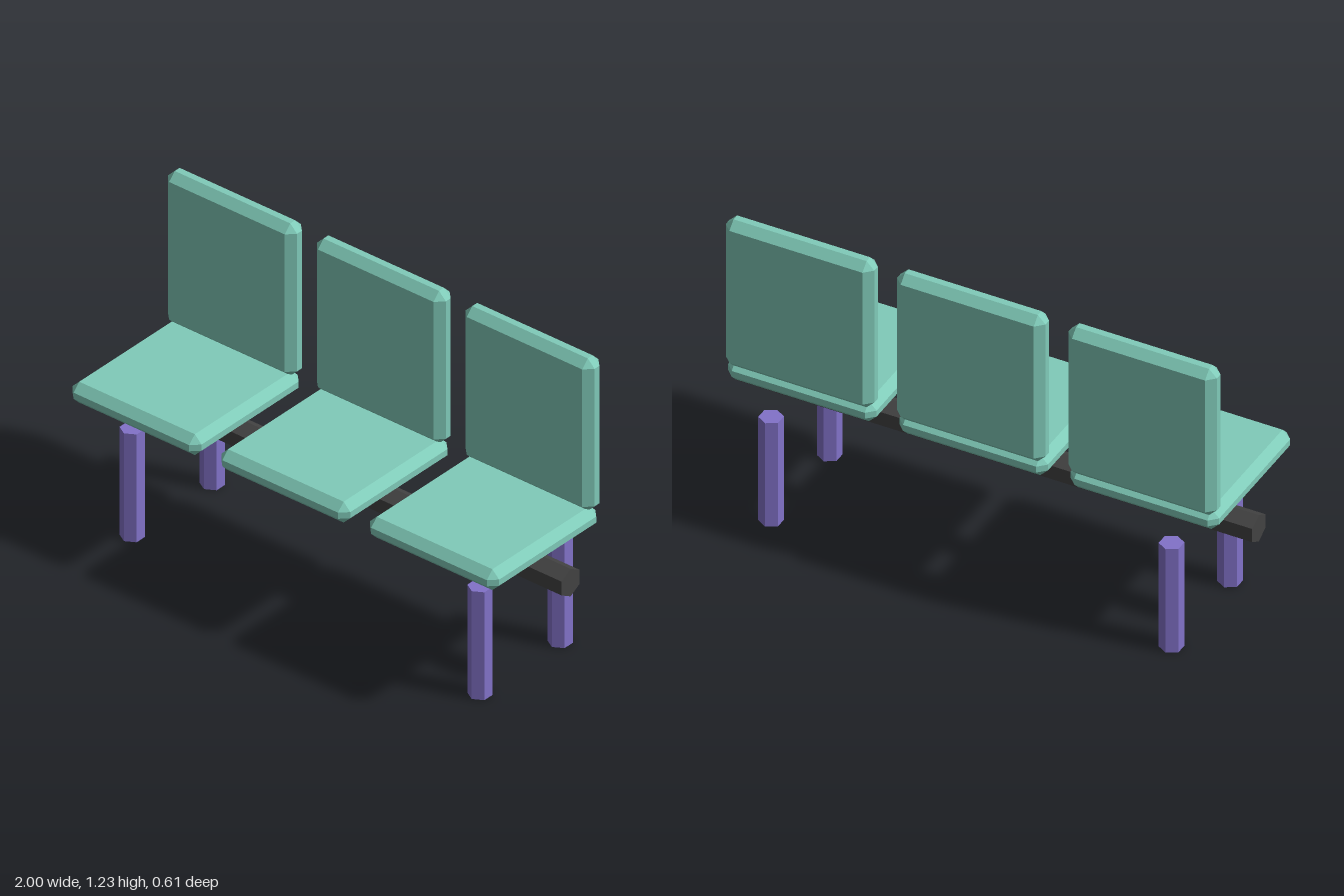
import * as THREE from 'three';
import { ConvexGeometry } from 'three/addons/geometries/ConvexGeometry.js';

// Box with every edge cut by a single flat chamfer, centred on the origin
function chamferedBox(w, h, d, c) {
  const points = [];
  for (const sx of [-1, 1]) for (const sy of [-1, 1]) for (const sz of [-1, 1]) {
    const x = w / 2, y = h / 2, z = d / 2;
    points.push(
      new THREE.Vector3(sx * x, sy * (y - c), sz * (z - c)),
      new THREE.Vector3(sx * (x - c), sy * y, sz * (z - c)),
      new THREE.Vector3(sx * (x - c), sy * (y - c), sz * z)
    );
  }
  return new ConvexGeometry(points);
}

export function createModel() {
  const model = new THREE.Group();
  model.name = 'benchSeating';

  const material = (name, color) => {
    const m = new THREE.MeshStandardMaterial({ color, flatShading: true });
    m.name = name;
    return m;
  };
  const teal = material('teal cushion', 0x80cbb9);
  const purple = material('purple leg', 0x8272c9);
  const dark = material('dark beam', 0x434343);

  const add = (parent, name, geometry, mat, x, y, z) => {
    const mesh = new THREE.Mesh(geometry, mat);
    mesh.name = name;
    mesh.position.set(x, y, z);
    parent.add(mesh);
  };

  // Three seats in a row, each a cushion and a backrest
  const cushion = chamferedBox(0.575, 0.085, 0.578, 0.03);
  const backrest = chamferedBox(0.575, 0.62, 0.086, 0.03);
  for (let i = -1; i <= 1; i++) {
    const seat = new THREE.Group();
    seat.name = 'seat' + (i + 2);
    seat.position.x = i * 0.663;
    add(seat, 'seatCushion', cushion, teal, 0, 0.578, 0.016);
    add(seat, 'backrest', backrest, teal, 0, 0.916, -0.247);
    model.add(seat);
  }

  // Hexagonal beam along x with a ridge on top
  const beam = new THREE.CylinderGeometry(0.056, 0.056, 2, 6);
  beam.rotateY(Math.PI / 6).rotateZ(Math.PI / 2);
  add(model, 'beam', beam, dark, 0, 0.439, -0.047);

  // Four hexagonal legs
  const leg = new THREE.CylinderGeometry(0.044, 0.044, 0.439, 6);
  for (const side of [-1, 1]) {
    const label = side > 0 ? 'Left' : 'Right';
    add(model, 'front' + label + 'Leg', leg, purple, side * 0.775, 0.2195, 0.167);
    add(model, 'back' + label + 'Leg', leg, purple, side * 0.775, 0.2195, -0.26);
  }
  return model;
}
